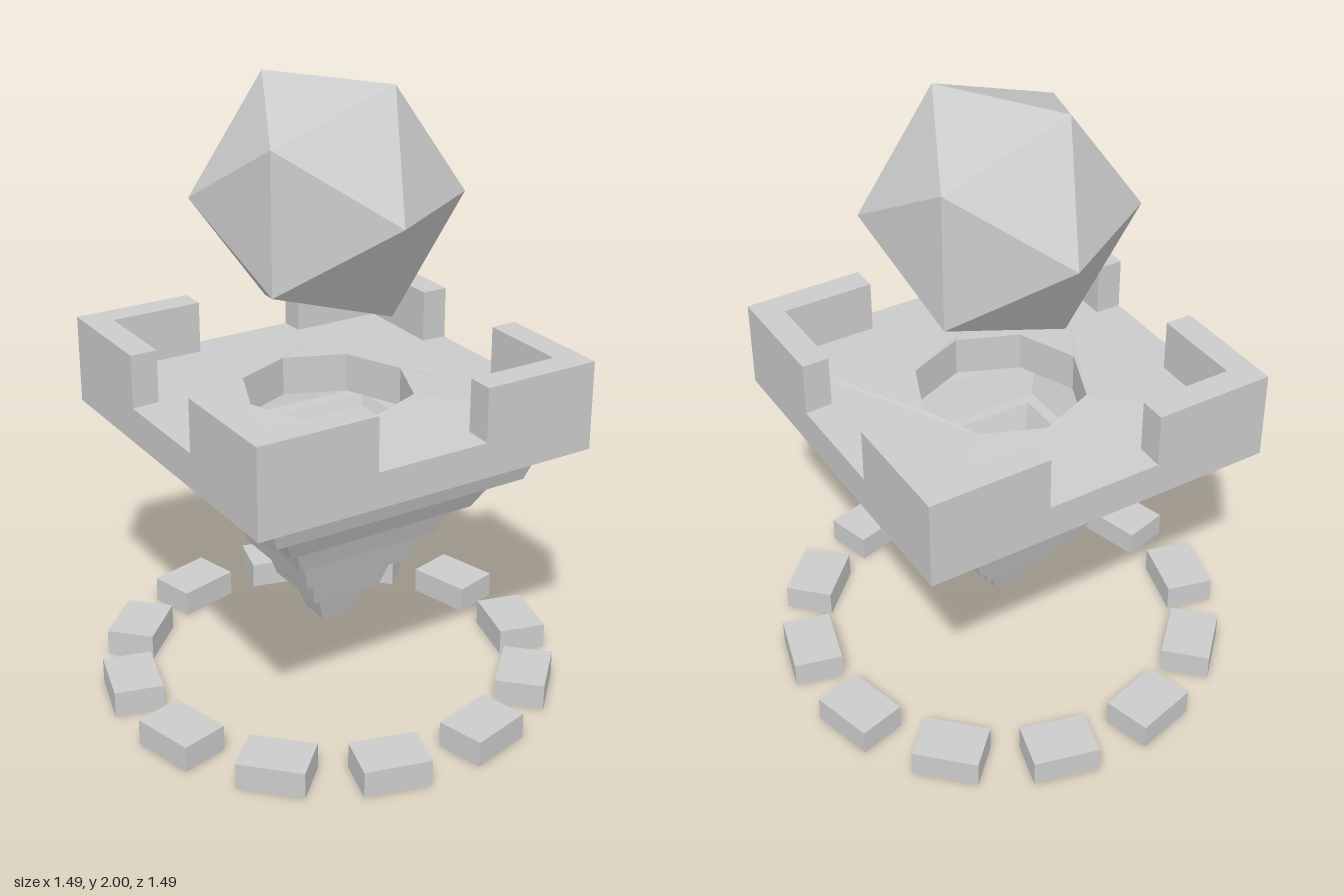
import * as THREE from 'three';

const material = new THREE.MeshStandardMaterial({ color: 0xcccccc, flatShading: true });
const shellMaterial = new THREE.MeshStandardMaterial({ color: 0xcccccc, flatShading: true, side: THREE.DoubleSide });

function part(name, geometry, mat = material) {
  const mesh = new THREE.Mesh(geometry, mat);
  mesh.name = name;
  return mesh;
}

// Extrudes a plan outline (x, -z) upward from y0 to y1
function slab(shape, y0, y1) {
  const g = new THREE.ExtrudeGeometry(shape, { depth: y1 - y0, bevelEnabled: false });
  return g.rotateX(-Math.PI / 2).translate(0, y0, 0);
}

const toShape = (pts) => new THREE.Shape(pts.map(([x, y]) => new THREE.Vector2(x, y)));

export function createModel() {
  const model = new THREE.Group();
  model.name = 'floatingCrystalPlatform';

  const half = 0.585, inner = 0.497, notch = 0.19;
  const baseY = 0.89, floorY = 1.005, wallTop = 1.18;

  // Square platform with an octagonal hole; its floor rises slightly to the rim
  const square = toShape([[-half, -half], [half, -half], [half, half], [-half, half]]);
  const hole = [];
  for (let i = 0; i < 8; i++) {
    const a = -i * Math.PI / 4;
    hole.push(new THREE.Vector2(0.277 * Math.cos(a), 0.277 * Math.sin(a)));
  }
  square.holes.push(new THREE.Path(hole));
  const platform = slab(square, baseY, floorY);
  const p = platform.attributes.position;
  for (let i = 0; i < p.count; i++) {
    if (p.getY(i) > 0.95 && Math.hypot(p.getX(i), p.getZ(i)) < 0.4) p.setY(i, 1.02);
  }
  platform.computeVertexNormals();
  model.add(part('platform', platform));

  // L-shaped parapet on each corner
  const corner = slab(toShape([
    [notch, inner], [inner, inner], [inner, notch],
    [half, notch], [half, half], [notch, half],
  ]), floorY, wallTop);
  for (let i = 0; i < 4; i++) {
    const wall = part('cornerWall', corner);
    wall.rotation.y = i * Math.PI / 2;
    model.add(wall);
  }

  // Hollow stepped inverted pyramid: [bottom y, bottom half width, top half width]
  const tiers = [
    [0.215, 0.05, 0.09], [0.33, 0.122, 0.155], [0.435, 0.19, 0.225],
    [0.545, 0.25, 0.29], [0.65, 0.33, 0.39], [0.765, 0.445, 0.487],
  ];
  const profile = [new THREE.Vector2(0, tiers[0][0])];
  tiers.forEach(([y, bottom, top], i) => {
    const yTop = i < tiers.length - 1 ? tiers[i + 1][0] : baseY;
    profile.push(new THREE.Vector2(bottom * Math.SQRT2, y), new THREE.Vector2(top * Math.SQRT2, yTop));
  });
  model.add(part('steppedPyramid', new THREE.LatheGeometry(profile, 4, Math.PI / 4), shellMaterial));

  // Floating crystal, one vertex pointing to the front
  const crystal = new THREE.IcosahedronGeometry(0.418, 0);
  crystal.rotateX(Math.atan(2 / (1 + Math.sqrt(5)))).rotateZ(Math.PI / 2);
  const crystalMesh = part('crystal', crystal);
  crystalMesh.position.y = 1.645;
  model.add(crystalMesh);

  // Ring of twelve blocks on the ground
  const ring = new THREE.Group();
  ring.name = 'blockRing';
  const block = new THREE.BoxGeometry(0.216, 0.087, 0.16).translate(0, 0.0435, 0.662);
  for (let i = 0; i < 12; i++) {
    const stone = part('ringBlock', block);
    stone.rotation.y = (i + 0.5) * Math.PI / 6;
    ring.add(stone);
  }
  model.add(ring);

  return model;
}
